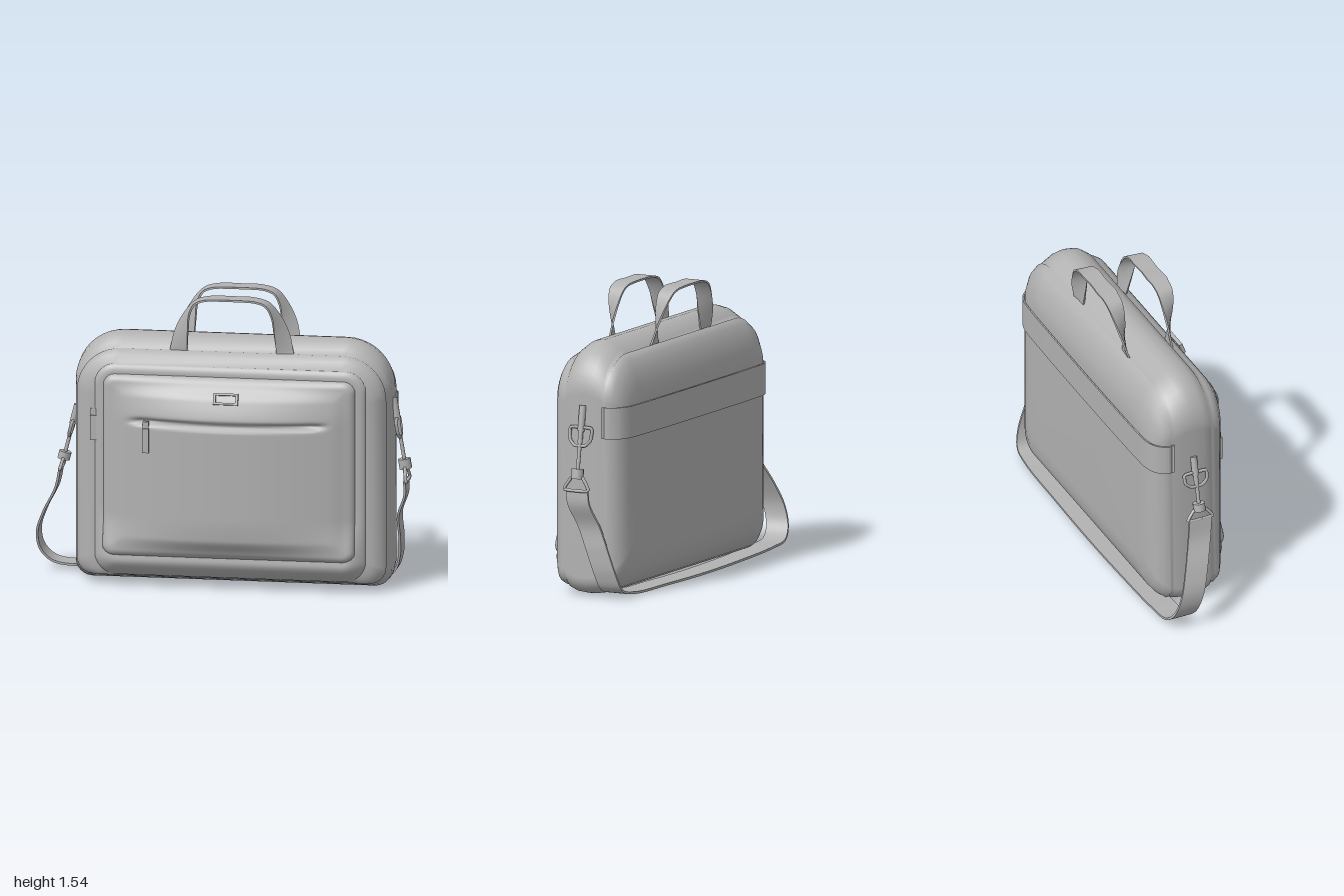
import * as THREE from 'three';
import { toCreasedNormals } from 'three/addons/utils/BufferGeometryUtils.js';

const V = (x, y, z) => new THREE.Vector3(x, y, z);
const grey = new THREE.MeshStandardMaterial({ color: 0xb2b2b2 });
grey.name = 'grey fabric';
const CX = 0.06; // centre line of the bag

function mesh(geo, name, parent) {
  const m = new THREE.Mesh(geo, grey);
  m.name = name;
  parent.add(m);
  return m;
}

// Skin over closed rings (counter-clockwise seen from the direction of travel), capped at both ends
function loft(rings) {
  const n = rings[0].length, pos = [], idx = [];
  rings.forEach(r => r.forEach(p => pos.push(p.x, p.y, p.z)));
  for (let i = 0; i < rings.length - 1; i++) {
    for (let j = 0; j < n; j++) {
      const a = i * n + j, b = i * n + (j + 1) % n;
      idx.push(a, b, b + n, a, b + n, a + n);
    }
  }
  [0, rings.length - 1].forEach((k, end) => {
    const c = rings[k].reduce((s, p) => s.add(p), V(0, 0, 0)).divideScalar(n);
    pos.push(c.x, c.y, c.z);
    const ci = pos.length / 3 - 1;
    for (let j = 0; j < n; j++) {
      const a = k * n + j, b = k * n + (j + 1) % n;
      if (end) idx.push(ci, a, b); else idx.push(ci, b, a);
    }
  });
  const g = new THREE.BufferGeometry();
  g.setAttribute('position', new THREE.Float32BufferAttribute(pos, 3));
  g.setIndex(idx);
  g.computeVertexNormals();
  return g;
}

// Rounded rectangle ring with separate top and bottom corner radii
function roundRing([z, x0, x1, y0, y1, rt, rb]) {
  const pts = [];
  const corners = [[x1 - rb, y0 + rb, rb, -1], [x1 - rt, y1 - rt, rt, 0], [x0 + rt, y1 - rt, rt, 1], [x0 + rb, y0 + rb, rb, 2]];
  for (const [cx, cy, r, q] of corners) {
    for (let i = 0; i <= 10; i++) {
      const a = (q + i / 10) * Math.PI / 2;
      pts.push(V(cx + r * Math.cos(a), cy + r * Math.sin(a), z));
    }
  }
  return pts;
}

// Flat strap along keys [x, y, z, wx, wy, wz]; w is the half-width vector
function ribbon(keys, thick, steps) {
  const path = new THREE.CatmullRomCurve3(keys.map(k => V(k[0], k[1], k[2])), false, 'centripetal');
  const side = new THREE.CatmullRomCurve3(keys.map(k => V(k[3], k[4], k[5])));
  const rings = [];
  for (let i = 0; i <= steps; i++) {
    const t = i / steps, p = path.getPoint(t), w = side.getPoint(t);
    const n = path.getTangent(t).cross(w).normalize().multiplyScalar(thick / 2);
    rings.push([[1, 1], [-1, 1], [-1, -1], [1, -1]].map(([a, b]) =>
      p.clone().addScaledVector(w, a).addScaledVector(n, b)));
  }
  return toCreasedNormals(loft(rings), 0.7);
}

// Padded panel with rounded corners; height(x, y, d) gives z, d = distance from the edge
function pillow(x0, x1, y0, y1, r, height) {
  const g = new THREE.PlaneGeometry(2, 2, 56, 110), p = g.attributes.position;
  const w = (x1 - x0) / 2, h = (y1 - y0) / 2, cx = (x0 + x1) / 2, cy = (y0 + y1) / 2;
  const ease = t => 0.45 * t + 0.55 * Math.sin(t * Math.PI / 2);
  for (let i = 0; i < p.count; i++) {
    let x = ease(p.getX(i)) * w, y = ease(p.getY(i)) * h;
    const qx = Math.abs(x) - w + r, qy = Math.abs(y) - h + r;
    let d = Math.min(r - qx, r - qy);
    if (qx > 0 && qy > 0) {
      const l = Math.hypot(qx, qy), k = Math.min(1, r / l);
      x = Math.sign(x) * (w - r + qx * k);
      y = Math.sign(y) * (h - r + qy * k);
      d = Math.max(0, r - l);
    }
    p.setXYZ(i, cx + x, cy + y, height(cx + x, cy + y, d));
  }
  g.computeVertexNormals();
  return g;
}
const roundEdge = (d, r) => Math.sqrt(1 - (1 - Math.min(1, d / r)) ** 2);
const smooth = THREE.MathUtils.smoothstep;

// Pocket face: domed, with a sagging slit below the badge
function pocketZ(x, y, d) {
  const u = (x - CX) / 0.67;
  const slitY = 0.895 - 0.012 * (1 - u * u), inSlit = 1 - smooth(Math.abs(u), 0.62, 0.82);
  let dome = 0.1 * (1 - u * u) * (0.4 + 0.6 * smooth(y, 0.15, 0.4));
  if (y > slitY) dome *= 1 - 0.75 * smooth(y, slitY, 1.16);
  const groove = -0.035 * Math.exp(-(((y - slitY - 0.012) / 0.014) ** 2)) * inSlit;
  const low = 0.035 * (1 - smooth(y, 0.17, 0.4));
  return 0.135 + 0.055 * roundEdge(d, 0.045) + dome * smooth(d, 0, 0.12) + groove + low;
}

// Zip pull hanging from a slider
function zipPull(x, y, z, parent) {
  const g = new THREE.Group();
  g.name = 'zipPull';
  mesh(new THREE.BoxGeometry(0.03, 0.05, 0.025), 'zipSlider', g);
  mesh(new THREE.BoxGeometry(0.034, 0.13, 0.014), 'zipTab', g).position.set(0, -0.075, 0.014);
  g.position.set(x, y, z);
  parent.add(g);
}

// Strap hardware between the bag side (top) and the strap end (bottom)
function clip(name, top, bottom, parent) {
  const g = new THREE.Group();
  g.name = name;
  const at = t => top.clone().lerp(bottom, t);
  const rod = (a, b, r, part) => {
    const m = mesh(new THREE.CylinderGeometry(r, r, a.distanceTo(b), 10), part, g);
    m.position.copy(a).lerp(b, 0.5);
    m.quaternion.setFromUnitVectors(V(0, 1, 0), a.clone().sub(b).normalize());
  };
  const loop = (pts, part) => mesh(new THREE.TubeGeometry(
    new THREE.CatmullRomCurve3(pts, true, 'catmullrom', 0.2), 40, 0.009, 6, true), part, g);
  const off = (t, z) => at(t).add(V(0, 0, z));
  rod(at(0), at(0.3), 0.018, 'sideTab');
  loop([off(0.26, 0.06), off(0.4, 0.06), off(0.47, 0.03), off(0.47, -0.03), off(0.4, -0.06), off(0.26, -0.06)], 'dRing');
  rod(at(0.3), at(0.44), 0.013, 'hookNose');
  rod(at(0.44), at(0.78), 0.01, 'hookStem');
  rod(at(0.74), at(0.86), 0.033, 'swivel');
  loop([off(0.84, 0.03), off(0.99, 0.07), off(0.99, -0.07), off(0.84, -0.03)], 'strapLoop');
  parent.add(g);
}

export function createModel() {
  const bag = new THREE.Group();
  bag.name = 'briefcase';

  // Main shell from back to front, dipping at the two seams: z, x0, x1, y0, y1, rTop, rBottom
  const shell = [
    [-0.272, -0.60, 0.72, 0.22, 1.03, 0.12, 0.1],
    [-0.265, -0.67, 0.79, 0.14, 1.10, 0.15, 0.1],
    [-0.245, -0.72, 0.84, 0.085, 1.17, 0.18, 0.1],
    [-0.215, -0.75, 0.87, 0.05, 1.23, 0.21, 0.1],
    [-0.18, -0.765, 0.885, 0.03, 1.26, 0.23, 0.09],
    [-0.168, -0.758, 0.878, 0.032, 1.252, 0.23, 0.09],
    [-0.155, -0.765, 0.885, 0.022, 1.275, 0.24, 0.09],
    [-0.10, -0.77, 0.89, 0.013, 1.31, 0.25, 0.09],
    [-0.05, -0.77, 0.89, 0.01, 1.32, 0.25, 0.09],
    [0.01, -0.77, 0.89, 0.015, 1.31, 0.25, 0.09],
    [0.055, -0.76, 0.88, 0.03, 1.275, 0.24, 0.09],
    [0.07, -0.748, 0.868, 0.042, 1.25, 0.23, 0.09],
    [0.085, -0.752, 0.872, 0.042, 1.25, 0.23, 0.09],
    [0.12, -0.73, 0.85, 0.05, 1.225, 0.2, 0.09],
    [0.145, -0.69, 0.81, 0.065, 1.19, 0.17, 0.09],
    [0.155, -0.63, 0.75, 0.1, 1.14, 0.14, 0.08],
  ];
  mesh(loft(shell.map(roundRing)), 'shell', bag);

  // Front panel, fuller towards the bottom, and the pocket on it
  mesh(pillow(-0.66, 0.785, 0.055, 1.19, 0.12, (x, y, d) =>
    0.125 + 0.04 * roundEdge(d, 0.05) + 0.05 * (1 - smooth(y, 0.1, 0.45)) * smooth(d, 0, 0.1)), 'frontPanel', bag);
  mesh(pillow(-0.61, 0.73, 0.165, 1.14, 0.07, pocketZ), 'frontPocket', bag);

  // Badge frame above the slit
  const frame = new THREE.Shape([[-0.065, -0.03], [0.065, -0.03], [0.065, 0.03], [-0.065, 0.03]].map(p => new THREE.Vector2(...p)));
  frame.holes.push(new THREE.Path([[-0.052, -0.019], [-0.052, 0.019], [0.052, 0.019], [0.052, -0.019]].map(p => new THREE.Vector2(...p))));
  const badge = mesh(new THREE.ExtrudeGeometry(frame, { depth: 0.02, bevelEnabled: false }), 'badgeFrame', bag);
  badge.position.set(0.055, 1.035, pocketZ(0.055, 1.035, 0.105));
  badge.rotation.x = -0.35;

  zipPull(-0.655, 0.915, 0.145, bag);
  zipPull(-0.365, 0.88, 0.25, bag);

  // Band across the back, wrapping round both sides
  const half = shell.slice(0, 7);
  const band = [
    ...half.slice().reverse().map(r => [r[1] - 0.005, r[0] - 0.005]),
    ...half.map(r => [r[2] + 0.005, r[0] - 0.005]),
  ].map(([x, z]) => [x, 0.925, z, 0, 0.083, 0]);
  mesh(ribbon(band, 0.008, 70), 'backBand', bag);

  // Carry handles, twisting from flat at the seam to level at the grip
  for (const [name, zFoot, zGrip] of [['frontHandle', 0.075, 0.095], ['backHandle', -0.172, -0.195]]) {
    const leg = [
      [-0.28, 1.25, 0, 0.046, 0, 0.003],
      [-0.262, 1.36, 0.4, 0.036, 0, 0.024],
      [-0.232, 1.45, 0.75, 0.016, 0, 0.037],
      [-0.19, 1.51, 0.95, 0.004, 0, 0.044],
      [-0.13, 1.532, 1, 0, 0, 0.046],
    ];
    const key = s => ([x, y, k, wx, wy, wz]) =>
      [CX + s * x, y, zFoot + (zGrip - zFoot) * k, s * wx, wy, wz];
    const keys = [...leg.map(key(1)), [CX, 1.536, zGrip, 0, 0, 0.046], ...leg.slice().reverse().map(key(-1))];
    mesh(ribbon(keys, 0.01, 60), name, bag);
  }

  // Shoulder strap hanging down both sides and passing under the back edge
  const strap = [
    [0.955, 0.575, -0.05], [0.955, 0.5, -0.06], [0.915, 0.38, -0.10], [0.915, 0.25, -0.15],
    [0.905, 0.13, -0.19], [0.87, 0.05, -0.21], [0.76, 0.022, -0.218], [0.4, 0.012, -0.222],
    [0, 0.007, -0.224], [-0.4, 0.012, -0.222], [-0.75, 0.025, -0.218], [-0.91, 0.045, -0.21],
    [-0.975, 0.11, -0.19], [-0.99, 0.21, -0.16], [-0.95, 0.33, -0.12], [-0.88, 0.47, -0.07], [-0.855, 0.575, -0.05],
  ].map(p => [...p, 0, 0, 0.064]);
  mesh(ribbon(strap, 0.012, 110), 'shoulderStrap', bag);
  clip('leftClip', V(0.89, 1.01, -0.05), V(0.965, 0.57, -0.05), bag);
  clip('rightClip', V(-0.77, 0.91, -0.05), V(-0.855, 0.57, -0.05), bag);

  return bag;
}
